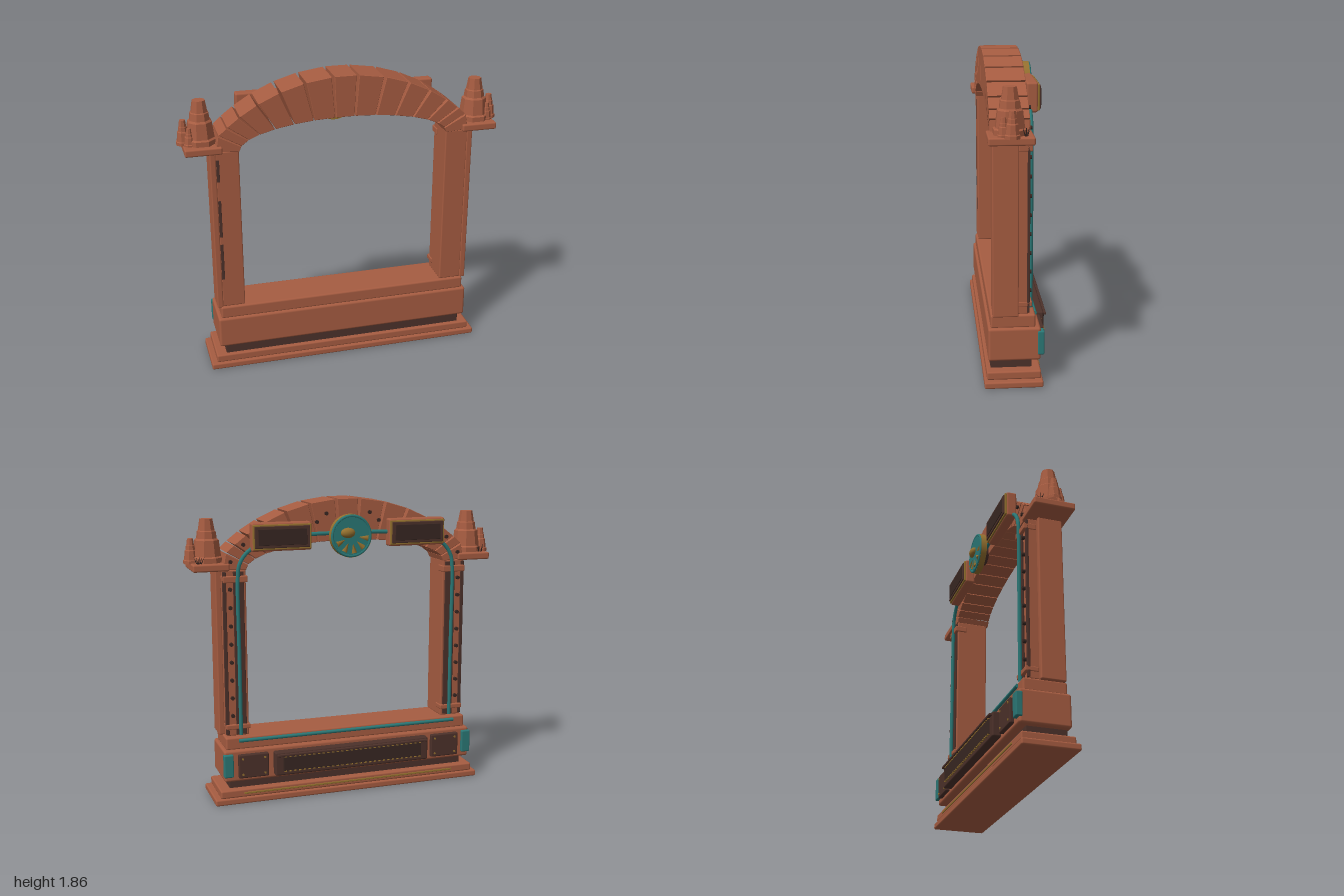
import * as THREE from 'three';
import { RoundedBoxGeometry } from 'three/addons/geometries/RoundedBoxGeometry.js';

const mat = (name, color, extra = {}) => {
  const m = new THREE.MeshStandardMaterial({ color, ...extra });
  m.name = name;
  return m;
};

export function createModel() {
  const root = new THREE.Group();
  root.name = 'stoneArchGateway';
  const clay = mat('terracotta', 0xa65c41);
  const rock = mat('terracottaFaceted', 0xa65c41, { flatShading: true });
  const dark = mat('darkBrown', 0x4c312a);
  const deep = mat('deepBrown', 0x382722);
  const gold = mat('oldGold', 0x94702f);
  const teal = mat('teal', 0x2b7876);

  const add = (name, geo, material, x = 0, y = 0, z = 0, parent = root) => {
    const m = new THREE.Mesh(geo, material);
    m.name = name;
    m.position.set(x, y, z);
    parent.add(m);
    return m;
  };
  // Softened box given by its extents
  const box = (name, material, x0, x1, y0, y1, z0, z1, r = 0.01) => {
    const w = Math.abs(x1 - x0), h = y1 - y0, d = z1 - z0;
    const rad = Math.min(r, w * 0.3, h * 0.3, d * 0.3);
    return add(name, new RoundedBoxGeometry(w, h, d, 2, rad), material, (x0 + x1) / 2, (y0 + y1) / 2, (z0 + z1) / 2);
  };
  // Cylinder whose axis runs along z
  const disc = (name, material, r, x, y, z0, z1, sides = 32) => {
    const g = new THREE.CylinderGeometry(r, r, z1 - z0, sides).rotateX(Math.PI / 2);
    return add(name, g, material, x, y, (z0 + z1) / 2);
  };

  // Stepped base
  box('bottomSlab', clay, -0.88, 0.88, 0, 0.04, -0.14, 0.2);
  box('secondSlab', clay, -0.845, 0.845, 0.04, 0.09, -0.13, 0.185);
  box('baseRecess', dark, -0.78, 0.78, 0.085, 0.15, -0.08, 0.16, 0.004);
  box('baseBlock', clay, -0.82, 0.82, 0.145, 0.345, -0.13, 0.175, 0.015);
  box('sill', clay, -0.8, 0.8, 0.34, 0.42, -0.1, 0.16, 0.012);
  box('slabTrim', gold, -0.7, 0.7, 0.06, 0.072, -0.136, -0.128, 0.002);

  // Long panel on the rear of the base
  box('longPanelFrame', dark, -0.51, 0.51, 0.17, 0.32, -0.18, -0.12, 0.01);
  box('longPanelInset', deep, -0.46, 0.46, 0.2, 0.29, -0.188, -0.175, 0.003);
  box('longPanelRidge', dark, -0.5, 0.5, 0.295, 0.31, -0.197, -0.175, 0.004);
  for (const y of [0.195, 0.288]) {
    for (let i = 0; i < 30; i++) {
      box('panelStud', gold, -0.457 + i * 0.031, -0.443 + i * 0.031, y, y + 0.007, -0.191, -0.18, 0.001);
    }
  }
  const sillTube = new THREE.CylinderGeometry(0.011, 0.011, 1.44, 10).rotateZ(Math.PI / 2);
  add('sillTube', sillTube, teal, 0, 0.398, -0.104);

  // Faceted spire made of stacked tapering tiers
  const spire = (x, z, height, radius) => {
    const profile = [[1, 0], [1.0, 0.13], [0.88, 0.16], [0.76, 0.52], [0.64, 0.56], [0.58, 0.72], [0.52, 0.74], [0.4, 1], [0, 1]]
      .map(([r, y]) => new THREE.Vector2(r * radius, y * height));
    add('spire', new THREE.LatheGeometry(profile, 8, Math.PI / 8), rock, x, 1.485, z);
  };

  for (const s of [-1, 1]) {
    // Pillar, narrow outer column and cap
    box('pillar', clay, s * 0.645, s * 0.787, 0.42, 1.45, -0.06, 0.147, 0.008);
    box('outerColumn', clay, s * 0.783, s * 0.82, 0.415, 1.45, 0, 0.15, 0.008);
    box('lowerCollar', clay, s * 0.638, s * 0.79, 0.465, 0.495, -0.08, 0, 0.006);
    box('upperCollar', clay, s * 0.638, s * 0.79, 1.375, 1.415, -0.08, 0, 0.006);
    box('pillarStrip', dark, s * 0.66, s * 0.725, 0.43, 1.44, -0.07, -0.055, 0.003);
    box('pillarEdge', dark, s * 0.768, s * 0.79, 0.43, 1.44, -0.066, -0.05, 0.003);
    for (let i = 0; i < 8; i++) disc('pillarRivet', deep, 0.012, s * 0.746, 0.55 + i * 0.112, -0.078, -0.055, 8);
    box('capSlab', clay, s * 0.745, s * 0.965, 1.445, 1.49, -0.075, 0.18, 0.01);

    // Spires and grass tufts on the cap
    spire(s * 0.855, 0.055, 0.265, 0.098);
    spire(s * 0.955, 0.05, 0.15, 0.045);
    spire(s * 0.925, 0.095, 0.11, 0.035);
    for (let i = 0; i < 6; i++) {
      const blade = add('grassBlade', new THREE.ConeGeometry(0.004, 0.06, 4), deep,
        s * (0.9 + 0.008 * i), 1.51, -0.04 + 0.012 * (i % 3));
      blade.rotation.set(0.3 * ((i % 3) - 1), 0, s * (0.35 - i * 0.14));
    }

    // Teal tube rising up the pillar and following the arch
    const path = new THREE.CatmullRomCurve3([
      [0.7, 0.43], [0.7, 0.9], [0.7, 1.4], [0.69, 1.48], [0.645, 1.55], [0.56, 1.6], [0.4, 1.635], [0.2, 1.65], [0.05, 1.65],
    ].map(([x, y]) => new THREE.Vector3(s * x, y, -0.08)));
    add('archTube', new THREE.TubeGeometry(path, 60, 0.012, 8), teal);

    // Framed panel on the rear of the arch
    box('archPanelBack', clay, s * 0.25, s * 0.62, 1.56, 1.73, -0.125, -0.06, 0.012);
    box('archPanelFrame', gold, s * 0.255, s * 0.615, 1.57, 1.72, -0.135, -0.12, 0.004);
    box('archPanelFace', dark, s * 0.265, s * 0.605, 1.58, 1.71, -0.143, -0.13, 0.004);
    box('archPanelInset', deep, s * 0.285, s * 0.585, 1.597, 1.693, -0.147, -0.14, 0.002);

    // End plates on the rear of the base
    box('endPlate', dark, s * 0.545, s * 0.735, 0.17, 0.32, -0.155, -0.12, 0.008);
    for (const x of [0.57, 0.71]) for (const y of [0.195, 0.295]) disc('endPlateBolt', gold, 0.007, s * x, y, -0.16, -0.15, 8);
    box('endTealBar', teal, s * 0.765, s * 0.825, 0.18, 0.325, -0.15, -0.11, 0.008);
    for (const [x, y] of [[0.14, 1.77], [0.2, 1.72], [0.66, 1.6], [0.74, 1.5]]) disc('archBolt', deep, 0.012, s * x, y, -0.078, -0.06, 8);
  }

  // Cracks along the seam of one pillar
  for (const [y0, y1] of [[0.61, 0.85], [0.9, 1.14], [1.26, 1.4]]) {
    box('pillarCrack', dark, -0.783, -0.765, y0, y1, 0.143, 0.149, 0.002);
  }

  // Arch stones: joints as [outer x, outer y, inner x, inner y]
  const outerY = (x) => 1.86 - 1.113 + Math.sqrt(1.113 ** 2 - x * x);
  const innerY = (x) => 1.445 + 0.16 * Math.sqrt(Math.max(0, 1 - (x / 0.645) ** 2));
  const joints = [[0.075, 0.06], [0.245, 0.19], [0.395, 0.31], [0.53, 0.425], [0.64, 0.52], [0.715, 0.585], [0.765, 0.63]]
    .map(([o, i]) => [o, outerY(o), i, innerY(i)]);
  joints.push([0.785, 1.45, 0.645, 1.445]);
  const stone = (name, a, b) => {
    const mix = (k, t) => a[k] + (b[k] - a[k]) * t;
    const at = (k, t) => new THREE.Vector2(mix(k, t), mix(k + 1, t));
    const shape = new THREE.Shape([at(0, 0.055), at(0, 0.945), at(2, 0.97), at(2, 0.03)]);
    const geo = new THREE.ExtrudeGeometry(shape, {
      depth: 0.217, bevelEnabled: true, bevelThickness: 0.004, bevelSize: 0.003, bevelOffset: -0.003, bevelSegments: 1,
    });
    add(name, geo, rock, 0, 0, -0.061);
  };
  const flip = ([ox, oy, ix, iy]) => [-ox, oy, -ix, iy];
  stone('keystone', flip(joints[0]), joints[0]);
  for (let i = 0; i + 1 < joints.length; i++) {
    stone('archStone', joints[i], joints[i + 1]);
    stone('archStone', flip(joints[i]), flip(joints[i + 1]));
  }

  // Round medallion at the crown
  const cy = 1.635;
  disc('medallionMount', dark, 0.068, 0, cy, -0.1, -0.06);
  disc('medallionBody', gold, 0.132, 0, cy, -0.132, -0.095, 40);
  disc('medallionFace', teal, 0.115, 0, cy, -0.139, -0.13, 40);
  add('medallionRim', new THREE.TorusGeometry(0.122, 0.009, 8, 40), teal, 0, cy, -0.132);
  const boss = add('medallionBoss', new THREE.SphereGeometry(0.042, 16, 10), gold, 0.025, cy + 0.02, -0.14);
  boss.scale.set(1.1, 0.75, 0.65);
  for (let i = 0; i < 5; i++) {
    const a = Math.PI * (1.05 + i * 0.2);
    const ray = add('medallionRay', new THREE.ConeGeometry(0.018, 0.06, 4), gold, Math.cos(a) * 0.075, cy + Math.sin(a) * 0.075, -0.14);
    ray.rotation.z = a + Math.PI / 2;
    ray.scale.z = 0.5;
  }

  return root;
}
